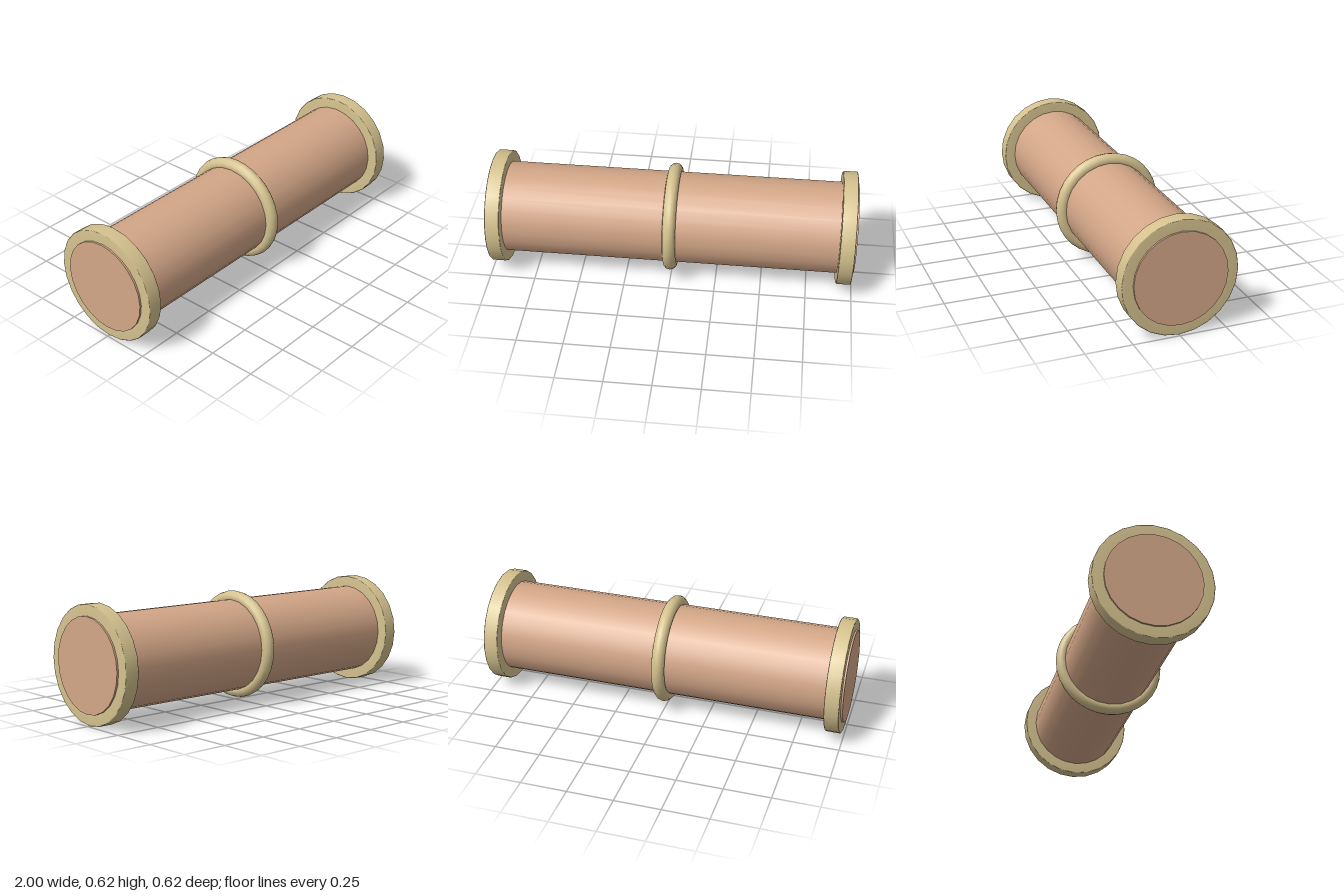
import * as THREE from 'three';

export function createModel() {
  const copper = new THREE.MeshStandardMaterial({ color: 0xd4a788 });
  copper.name = 'copper';
  const brass = new THREE.MeshStandardMaterial({ color: 0xd5c28f });
  brass.name = 'brass';

  const model = new THREE.Group();
  model.name = 'pipe';
  const centreY = 0.31;

  function add(name, geometry, material, x) {
    const mesh = new THREE.Mesh(geometry, material);
    mesh.name = name;
    mesh.position.set(x, centreY, 0);
    model.add(mesh);
  }

  // Capped straight tube lying along x
  add('pipeBody', new THREE.CylinderGeometry(0.25, 0.25, 2, 24).rotateZ(Math.PI / 2), copper, 0);

  // End collars with a slightly softened rim
  const profile = [
    [0.245, -0.04], [0.306, -0.04], [0.31, -0.036],
    [0.31, 0.036], [0.306, 0.04], [0.245, 0.04],
  ].map(([r, y]) => new THREE.Vector2(r, y));
  const collar = new THREE.LatheGeometry(profile, 24).rotateZ(Math.PI / 2);
  add('leftCollar', collar, brass, 0.95);
  add('rightCollar', collar, brass, -0.95);

  // Rounded band around the middle
  add('middleRing', new THREE.TorusGeometry(0.26, 0.036, 12, 32).rotateY(Math.PI / 2), brass, 0);

  return model;
}
